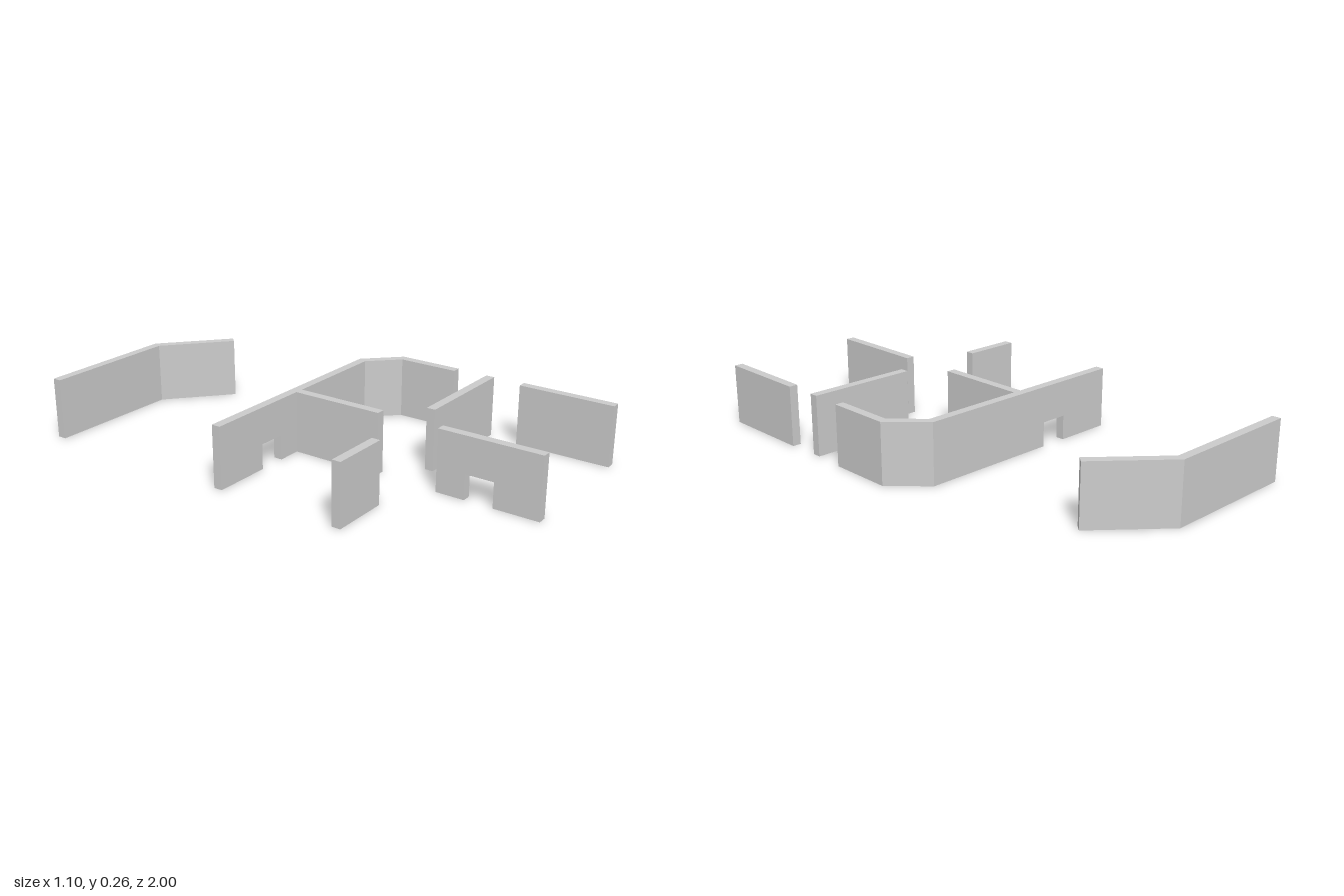
import * as THREE from 'three';

const HEIGHT = 0.258;
const THICK = 0.037;
const DOOR_HEIGHT = 0.105;
const material = new THREE.MeshStandardMaterial({ color: 0xcccccc, flatShading: true });

function extrude(points, depth) {
  const shape = new THREE.Shape(points.map(([x, y]) => new THREE.Vector2(x, y)));
  return new THREE.ExtrudeGeometry(shape, { depth, bevelEnabled: false });
}

// Wall raised to full height from its [x, z] floor outline
function planWall(name, outline) {
  const geometry = extrude(outline.map(([x, z]) => [x, -z]), HEIGHT);
  geometry.rotateX(-Math.PI / 2);
  const mesh = new THREE.Mesh(geometry, material);
  mesh.name = name;
  return mesh;
}

// Plain straight wall between floor limits
function straightWall(name, x0, x1, z0, z1) {
  return planWall(name, [[x0, z0], [x1, z0], [x1, z1], [x0, z1]]);
}

// Wall along x with a doorway cut up from the floor
function doorWall(name, start, end, doorStart, doorEnd) {
  const geometry = extrude([
    [start, 0], [doorStart, 0], [doorStart, DOOR_HEIGHT], [doorEnd, DOOR_HEIGHT],
    [doorEnd, 0], [end, 0], [end, HEIGHT], [start, HEIGHT],
  ], THICK);
  const mesh = new THREE.Mesh(geometry, material);
  mesh.name = name;
  return mesh;
}

export function createModel() {
  const model = new THREE.Group();
  model.name = 'floorPlanWalls';

  // Detached back wall with an angled end
  model.add(planWall('backWall', [
    [-0.555, -1], [0.04, -1], [0.307, -0.767],
    [0.282, -0.739], [0.026, -0.963], [-0.555, -0.963],
  ]));

  // Middle wall: straight run with a doorway, then a chamfered corner
  const middle = new THREE.Group();
  middle.name = 'middleWall';
  const run = doorWall('middleWallRun', -0.555, 0.395, -0.31, -0.192);
  run.position.z = -0.128;
  middle.add(run, planWall('middleWallCorner', [
    [0.395, -0.128], [0.41, -0.128], [0.548, 0.011], [0.548, 0.286],
    [0.511, 0.286], [0.511, 0.026], [0.395, -0.091],
  ]));
  model.add(middle);

  // Partition meeting the middle wall
  model.add(straightWall('partition', -0.09, -0.053, -0.091, 0.303));

  // Cross walls
  model.add(straightWall('rightCrossWall', -0.555, -0.31, 0.423, 0.46));
  model.add(straightWall('leftCrossWall', 0.068, 0.54, 0.423, 0.46));

  // Front walls running along z
  const frontDoorWall = doorWall('frontDoorWall', -1, -0.568, -0.81, -0.69);
  frontDoorWall.rotation.y = Math.PI / 2;
  frontDoorWall.position.x = -0.09;
  model.add(frontDoorWall);
  model.add(straightWall('frontSideWall', 0.511, 0.548, 0.593, 1));

  return model;
}
